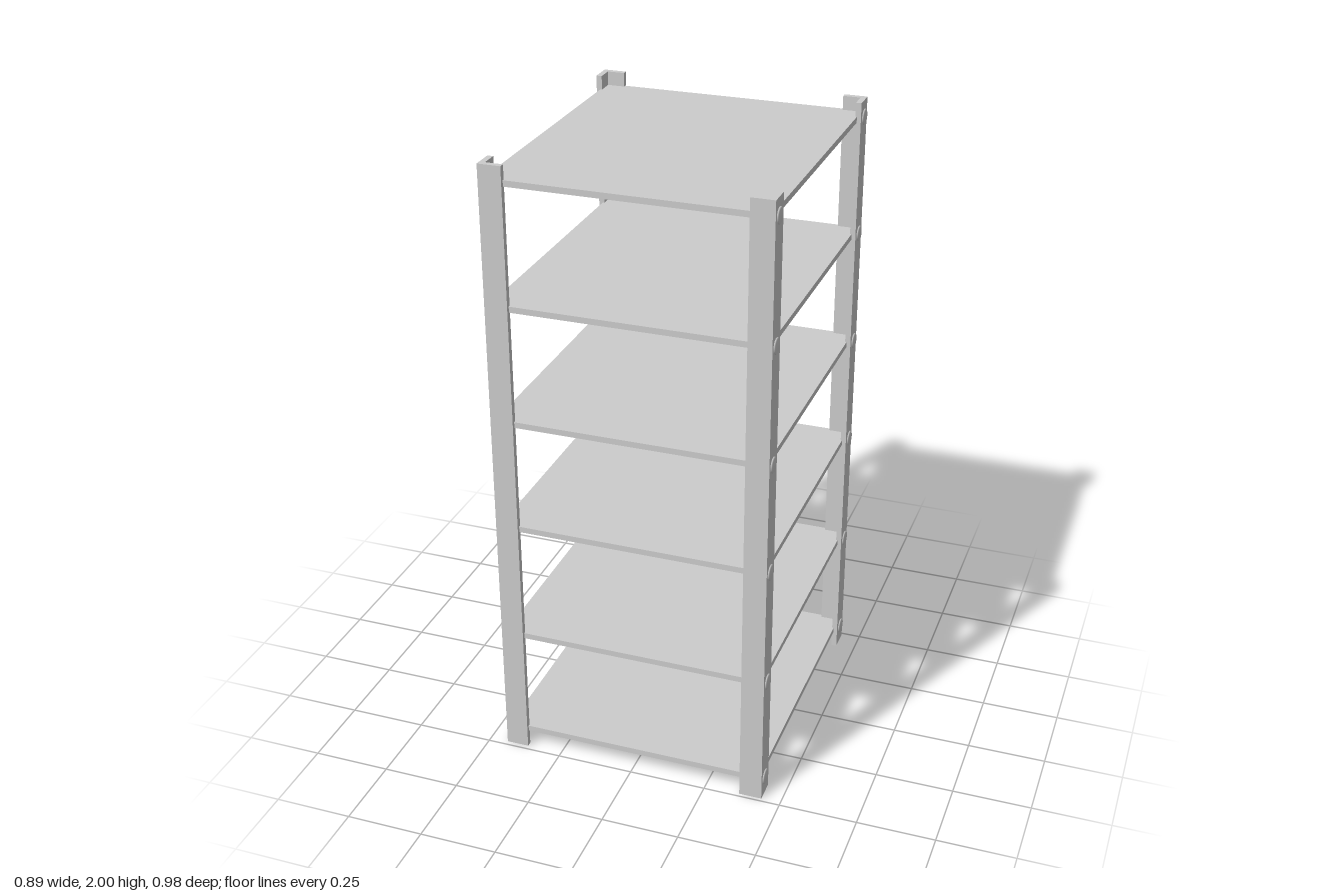
import * as THREE from 'three';

const material = new THREE.MeshStandardMaterial({ color: 0xcccccc });
const HEIGHT = 2, FLANGE = 0.073, THICK = 0.018;
const LEVELS = [0.064, 0.427, 0.82, 1.183, 1.56, 1.946];

function add(parent, name, geometry, x = 0, y = 0, z = 0) {
  const mesh = new THREE.Mesh(geometry, material);
  mesh.name = name;
  mesh.position.set(x, y, z);
  parent.add(mesh);
  return mesh;
}

// L-shaped angle post with its outer corner at the origin, opening towards -sx, -sz
function postGeometry(sx, sz) {
  const profile = [[0, 0], [FLANGE, 0], [FLANGE, THICK], [THICK, THICK], [THICK, FLANGE], [0, FLANGE]];
  const shape = new THREE.Shape(profile.map(([a, b]) => new THREE.Vector2(-sx * a, sz * b)));
  const geometry = new THREE.ExtrudeGeometry(shape, { depth: HEIGHT, bevelEnabled: false });
  return geometry.rotateX(-Math.PI / 2);
}

// Low round bolt head with a softened rim, pointing along +y
function boltGeometry() {
  const profile = [[0, -0.002], [0.025, -0.002], [0.025, 0.002], [0.022, 0.005], [0, 0.006]];
  return new THREE.LatheGeometry(profile.map(([r, y]) => new THREE.Vector2(r, y)), 24);
}

export function createModel() {
  const model = new THREE.Group();
  model.name = 'shelvingUnit';

  // Shelves
  const shelf = new THREE.BoxGeometry(0.852, 0.019, 0.956);
  LEVELS.forEach((y) => add(model, 'shelf', shelf, -0.002, y, -0.005));

  // Corner posts, each with a bolt at every shelf
  const bolt = boltGeometry();
  const corners = [
    ['backRight', -1, -1, -0.44, -0.491],
    ['backLeft', 1, -1, 0.437, -0.489],
    ['frontRight', -1, 1, -0.44, 0.484],
    ['frontLeft', 1, 1, 0.437, 0.488],
  ];
  for (const [name, sx, sz, x, z] of corners) {
    const corner = new THREE.Group();
    corner.name = name + 'Corner';
    corner.position.set(x, 0, z);
    add(corner, 'post', postGeometry(sx, sz));
    for (const y of LEVELS) {
      add(corner, 'bolt', bolt, 0, y, -sz * 0.034).rotation.z = -sx * Math.PI / 2;
    }
    model.add(corner);
  }
  return model;
}
